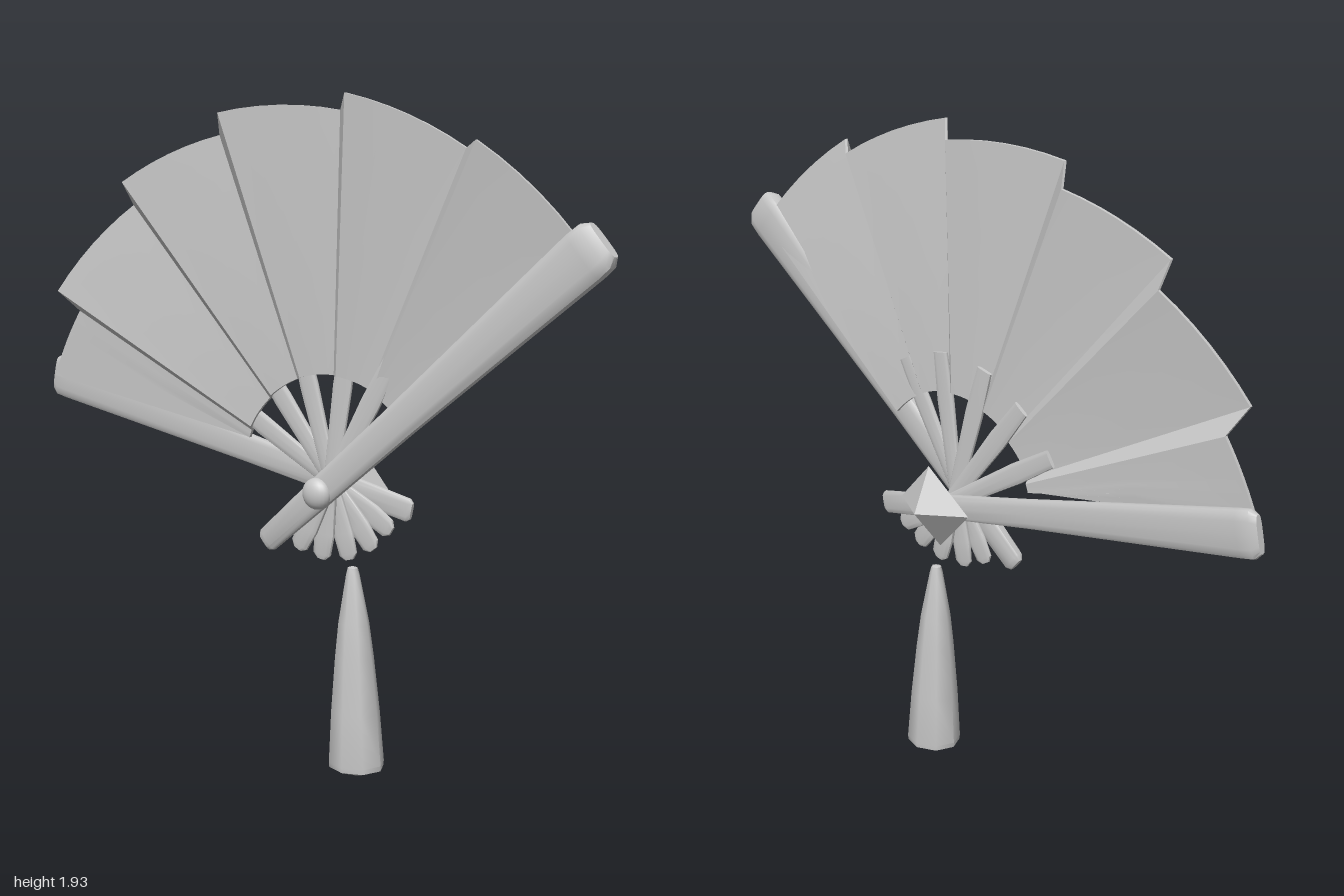
import * as THREE from 'three';
import { toCreasedNormals } from 'three/addons/utils/BufferGeometryUtils.js';

const PX = 0.12, PY = 0.84;            // pivot of the fan
const rad = THREE.MathUtils.degToRad;

// Closed skin over equal-length rings of [x, y, z]; both ends are capped.
function loft(rings, crease = 0.7) {
  const n = rings[0].length, pos = rings.flat(2), idx = [];
  for (let i = 0; i < rings.length - 1; i++) {
    for (let j = 0; j < n; j++) {
      const a = i * n + j, b = i * n + (j + 1) % n;
      idx.push(a, b, a + n, b, b + n, a + n);
    }
  }
  const last = (rings.length - 1) * n;
  for (let j = 1; j < n - 1; j++) {
    idx.push(0, j + 1, j, last, last + j, last + j + 1);
  }
  const g = new THREE.BufferGeometry();
  g.setAttribute('position', new THREE.Float32BufferAttribute(pos, 3));
  g.setIndex(idx);
  return toCreasedNormals(g, crease);
}

// Rounded bar along +x; stations are [distance, half width, half depth, z].
function bar(stations) {
  return loft(stations.map(([t, w, d, z]) => Array.from({ length: 16 }, (_, k) => {
    const a = k / 16 * Math.PI * 2, c = Math.cos(a), s = Math.sin(a);
    const soft = (v) => Math.sign(v) * Math.pow(Math.abs(v), 0.6);
    return [t, w * soft(c), z + d * soft(s)];
  })));
}

export function createModel() {
  const fan = new THREE.Group();
  fan.name = 'foldingFan';
  const grey = new THREE.MeshStandardMaterial({ color: 0xc8c8c8 });
  grey.name = 'lightGrey';

  const add = (name, geometry, x = 0, y = 0, z = 0, angle = 0) => {
    const m = new THREE.Mesh(geometry, grey);
    m.name = name;
    m.position.set(x, y, z);
    m.rotation.z = rad(angle);
    fan.add(m);
    return m;
  };

  // Outer guards, wider towards the tip
  add('frontGuard', bar([
    [-0.255, 0.026, 0.01, 0.088], [-0.24, 0.036, 0.016, 0.088], [0, 0.043, 0.019, 0.09],
    [0.35, 0.05, 0.023, 0.088], [1.06, 0.074, 0.032, 0.079], [1.1, 0.072, 0.03, 0.078],
    [1.125, 0.055, 0.018, 0.078],
  ]), PX, PY, 0, 41.3);
  add('backGuard', bar([
    [-0.232, 0.024, 0.006, -0.028], [-0.22, 0.034, 0.01, -0.028], [0, 0.036, 0.012, -0.032],
    [0.35, 0.043, 0.015, -0.037], [1.07, 0.066, 0.022, -0.049], [1.11, 0.066, 0.021, -0.05],
    [1.13, 0.052, 0.012, -0.05],
  ]), PX, PY, 0, 168.6);

  // Inner sticks, stacked from front to back
  [61, 82, 106, 128, 149].forEach((angle, i) => {
    const z = 0.058 - i * 0.016;
    const s = Math.max(z, 0.01);
    add('stick', bar([
      [-0.205, 0.014, 0.005, z], [-0.19, 0.029, 0.008, z], [-0.13, 0.033, 0.008, z],
      [0, 0.022, 0.008, z], [0.3, 0.031, 0.008, s], [0.44, 0.026, 0.006, s],
    ]), PX, PY, 0, angle);
  });

  // Pleated leaf: each wide panel rises to a crest, then a narrow panel drops back
  const crests = [63.2, 85.8, 109.1, 130.6, 153];
  const crestZ = [0.11, 0.092, 0.076, 0.075, 0.073];
  const valleyZ = [0.046, 0.036, 0.03, 0.02, 0.002];
  const folds = [[41, 1.06, 0.055]];    // angle, outer radius, outer z
  crests.forEach((a, i) => {
    folds.push([a, 1.1, crestZ[i]], [a + 2.6, 1.05, valleyZ[i]]);
  });
  folds.push([168, 1.085, 0.004]);
  const rings = [];
  const cut = (angle, r, z, i) => {
    const a = rad(angle), inner = rad(angle + (angle > 160 ? 160 - angle : 0));
    const zi = 0.05 - (angle - 41) * 0.0003 + (z - 0.045) * 0.2;
    const at = (q, b, h) => [PX + q * Math.cos(b), PY + q * Math.sin(b), h];
    const zm = (zi + z) / 2, rm = (0.325 + r) / 2, mid = (a + inner) / 2;
    const h = 0.005;
    rings.push([
      at(0.325, inner, zi + h), at(rm, mid, zm + h), at(r, a, z + h),
      at(r, a, z - h), at(rm, mid, zm - h), at(0.325, inner, zi - h),
    ].reverse());
  };
  for (let i = 0; i < folds.length - 1; i++) {
    const [a, r, z] = folds[i], [b, r2, z2] = folds[i + 1];
    const steps = b - a > 5 ? 6 : 1;
    for (let k = 0; k < steps; k++) {
      const t = k / steps;
      cut(a + (b - a) * t, r + (r2 - r) * t, z + (z2 - z) * t);
    }
  }
  cut(...folds[folds.length - 1]);
  const leafGeometry = loft(rings, 0.45);
  const leaf = add('pleatedLeaf', leafGeometry);
  // Make the skin face outwards
  const p = leafGeometry.attributes.position;
  let volume = 0;
  const A = new THREE.Vector3(), B = new THREE.Vector3(), C = new THREE.Vector3();
  for (let i = 0; i < p.count; i += 3) {
    A.fromBufferAttribute(p, i); B.fromBufferAttribute(p, i + 1); C.fromBufferAttribute(p, i + 2);
    volume += A.dot(B.cross(C));
  }
  if (volume < 0) {
    leaf.geometry = loft(rings.map((ring) => ring.slice().reverse()), 0.45);
  }

  // Rivet: round head in front, four-sided point behind
  add('rivetHead', new THREE.SphereGeometry(0.045, 20, 14), PX, PY, 0.107).scale.z = 0.65;
  const pin = new THREE.CylinderGeometry(0.015, 0.015, 0.15, 12);
  pin.rotateX(Math.PI / 2);
  add('rivetPin', pin, PX, PY, 0.03);
  const point = new THREE.ConeGeometry(0.13, 0.085, 4).toNonIndexed();
  point.rotateX(-Math.PI / 2);
  const q = point.attributes.position;
  for (let i = 0; i < q.count; i++) {
    if (q.getZ(i) > 0) q.setZ(i, q.getZ(i) - q.getY(i) * 0.18);
  }
  point.computeVertexNormals();
  add('rivetPoint', point, 0.125, 0.843, -0.091);

  // Tassel, leaning slightly and closed with a shallow point
  const profile = [[0, 0.005], [0.082, 0.035], [0.083, 0.05], [0.073, 0.2],
    [0.058, 0.36], [0.046, 0.46], [0.02, 0.6], [0.015, 0.618], [0, 0.623]];
  const tassel = new THREE.LatheGeometry(profile.map(([x, y]) => new THREE.Vector2(x, y)), 8);
  const tp = tassel.attributes.position;
  for (let i = 0; i < tp.count; i++) {
    const y = tp.getY(i);
    tp.setXYZ(i, tp.getX(i) + 0.197 - y * 0.028, y, tp.getZ(i) * 0.92 + 0.015);
  }
  add('tassel', toCreasedNormals(tassel, 0.85));

  return fan;
}
